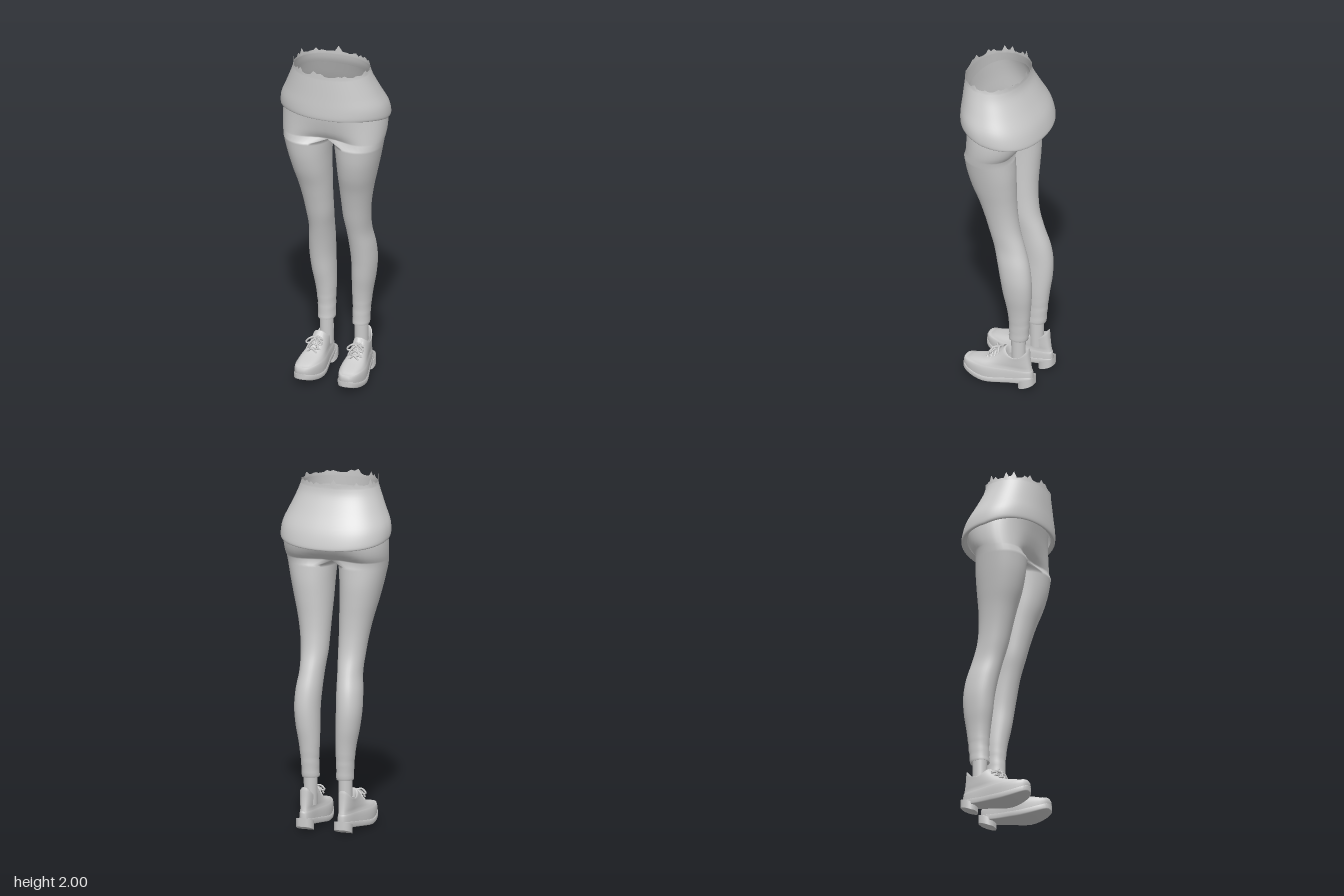
import * as THREE from 'three';
import { mergeGeometries, mergeVertices } from 'three/addons/utils/BufferGeometryUtils.js';

const { sin, cos, abs, sign, PI } = Math;
const material = new THREE.MeshStandardMaterial({ color: 0xcccccc, side: THREE.DoubleSide });
const spow = (v, p) => sign(v) * Math.pow(abs(v), p);
const hash = (i) => { const s = sin(i * 127.1 + 3.7) * 43758.5453; return s - Math.floor(s); };

// Skin a list of rings (bottom to top), each a list of [x, y, z]
function loft(rings, closed = true) {
  const n = rings[0].length, index = [];
  for (let r = 0; r < rings.length - 1; r++) {
    for (let c = 0; c < (closed ? n : n - 1); c++) {
      const d = (c + 1) % n, a = r * n, b = a + n;
      index.push(a + c, b + c, b + d, a + c, b + d, a + d);
    }
  }
  const g = new THREE.BufferGeometry();
  g.setAttribute('position', new THREE.Float32BufferAttribute(rings.flat(2), 3));
  g.setIndex(index);
  g.computeVertexNormals();
  return g;
}

// Catmull-Rom resampling of a table of stations
function resample(table, steps) {
  const out = [], last = table.length - 1;
  for (let i = 0; i < last; i++) {
    const [p, q, r, s] = [i - 1, i, i + 1, i + 2].map((k) => table[Math.min(last, Math.max(0, k))]);
    for (let j = 0; j < steps; j++) {
      const t = j / steps;
      out.push(q.map((v, k) => v + 0.5 * t * (r[k] - p[k] + t * (2 * p[k] - 5 * v + 4 * r[k] - s[k]
        + t * (3 * (v - r[k]) + s[k] - p[k])))));
    }
  }
  out.push(table[last]);
  return out;
}

function mesh(geometry, name) {
  const m = new THREE.Mesh(geometry, material);
  m.name = name;
  return m;
}

// Leggings: one leg and half the hips, mirrored and welded on the centre line
function leggings() {
  const N = 36, H = 12;
  // y, outer x, inner x, front z, back z
  const legTable = [
    [0.30, 0.150, 0.055, -0.072, -0.182], [0.40, 0.155, 0.055, -0.073, -0.190],
    [0.50, 0.167, 0.052, -0.063, -0.200], [0.60, 0.185, 0.053, -0.045, -0.211],
    [0.70, 0.195, 0.054, -0.030, -0.212], [0.80, 0.192, 0.050, -0.010, -0.197],
    [0.90, 0.181, 0.045, 0.015, -0.166], [1.00, 0.186, 0.036, 0.045, -0.134],
    [1.10, 0.198, 0.033, 0.072, -0.119], [1.20, 0.217, 0.030, 0.102, -0.115],
    [1.30, 0.242, 0.027, 0.138, -0.117], [1.40, 0.266, 0.023, 0.162, -0.118],
    [1.50, 0.288, 0.014, 0.173, -0.112],
  ];
  const legRing = ([y, xo, xi, zf, zb], k = 1) => Array.from({ length: N }, (_, i) => {
    const a = (i - N / 2) / N * 2 * PI;
    const ripple = y < 0.48 ? 1 + 0.025 * sin(y * 105 + 1.2 * sin(a)) * Math.min(1, (0.48 - y) * 12) : 1;
    return [(xo + xi) / 2 + (xo - xi) / 2 * k * ripple * spow(cos(a), 0.94), y,
      (zf + zb) / 2 + (zf - zb) / 2 * k * ripple * spow(sin(a), 0.94)];
  });
  // y, half width, front z, back z, depth of the centre groove
  const hipTable = [
    [1.53, 0.293, 0.195, -0.145, 0.42], [1.57, 0.299, 0.192, -0.172, 0.24],
    [1.63, 0.301, 0.188, -0.188, 0.12], [1.70, 0.294, 0.187, -0.186, 0.05],
    [1.80, 0.262, 0.194, -0.132, 0], [1.90, 0.222, 0.200, -0.088, 0],
  ];
  const hipRing = ([y, X, zf, zb, g]) => Array.from({ length: 2 * H + 1 }, (_, i) => {
    const t = (i - H) / H * PI / 2, s = sin(t), mid = (zf + zb) / 2;
    const x = abs(i - H) === H ? 0 : X * Math.pow(cos(t), 0.85);
    return [x, y, mid + (zf - mid) * spow(s, 0.88) * (1 - g * Math.pow(abs(s), 8))];
  });
  const hips = resample(hipTable, 3).map(hipRing);
  // Crotch ring: outer part is the lowest hip ring, inner part lies on x = 0
  const first = hips[0], zBack = first[0][2], zFront = first[2 * H][2];
  const crotch = Array.from({ length: N }, (_, i) => {
    const k = i - N / 2;
    if (abs(k) <= H) return first[k + H];
    const u = ((k + N) % N - H) / (N - 2 * H);
    return [0, 1.53 - 0.015 * sin(u * PI), zFront + (zBack - zFront) * u];
  });
  const legs = resample(legTable, 5);
  const cuff = [0.31, ...legTable[0].slice(1)];
  const rings = [legRing(cuff, 0.75), legRing(legs[0], 0.95), ...legs.map((s) => legRing(s)), crotch];
  const left = mergeGeometries([loft(rings), loft(hips, false)]);
  const right = left.clone().scale(-1, 1, 1);
  const ix = right.index.array;
  for (let i = 0; i < ix.length; i += 3) [ix[i], ix[i + 1]] = [ix[i + 1], ix[i]];
  const both = mergeGeometries([left, right]);
  both.deleteAttribute('normal');
  const welded = mergeVertices(both, 1e-4);
  welded.computeVertexNormals();
  return mesh(welded, 'leggings');
}

// Shirt bottom: flared loft with a tilted, turned-in hem and a torn upper edge
function shirt() {
  const N = 72;
  // y, half width, front z, back z, hem tilt
  const table = [
    [1.675, 0.285, 0.215, -0.205, 0.040], [1.658, 0.302, 0.234, -0.228, 0.040],
    [1.675, 0.313, 0.240, -0.235, 0.040], [1.74, 0.306, 0.239, -0.212, 0.025],
    [1.82, 0.272, 0.235, -0.160, 0.008], [1.90, 0.238, 0.231, -0.116, 0],
    [1.95, 0.220, 0.228, -0.104, 0],
  ];
  const ring = ([y, X, zf, zb, tilt]) => Array.from({ length: N }, (_, i) => {
    const a = i / N * 2 * PI, s = sin(a), mid = (zf + zb) / 2;
    return [X * spow(cos(a), 0.9), y + tilt * s + (s > 0 ? tilt * 0.5 * s * cos(a) ** 2 : 0),
      mid + (zf - mid) * spow(s, s < 0 ? 0.85 : 1)];
  });
  const rings = resample(table, 4).map(ring);
  // Torn edge: irregular spikes, taller on the right side
  rings.push(rings[rings.length - 1].map(([x, , z], i) => {
    const spike = hash(i) > 0.6 ? hash(i + 90) * (x < 0 ? 0.035 : 0.02) : 0;
    return [x * 0.99, i === 40 ? 2 : 1.96 + 0.008 * hash(i + 200) + spike, z];
  }));
  return mesh(loft(rings), 'shirtHem');
}

// Shoe helpers: footprint half width, centre line and underside curve along z
const footWidth = (z) => 0.050 + 0.030 * THREE.MathUtils.smoothstep(z, -0.13, 0.08);
const footCentre = (z) => 0.117 + (z + 0.13) * 0.05;
const lift = (z) => 0.012 + (z > 0.03 ? 1.2 * (z - 0.03) ** 2 : (0.03 - z) * 0.12);

function footRing(zf, zb, k, height) {
  return Array.from({ length: 40 }, (_, i) => {
    const a = i / 40 * 2 * PI, z = (zf + zb) / 2 + (zf - zb) / 2 * sin(a);
    return [footCentre(z) + footWidth(z) * k * spow(cos(a), 0.72), height(z, a), z];
  });
}

function shoe() {
  const group = new THREE.Group();
  // Upper: y, front z, back z, width, collar dip
  const upper = [
    [0.030, 0.188, -0.222, 0.97, 0], [0.070, 0.196, -0.222, 0.99, 0], [0.098, 0.188, -0.219, 0.95, 0],
    [0.116, 0.165, -0.216, 0.90, 0], [0.130, 0.120, -0.213, 0.86, 0], [0.145, 0.060, -0.210, 0.86, 0],
    [0.170, 0.015, -0.206, 0.86, 0.006], [0.200, -0.020, -0.202, 0.86, 0.018],
    [0.235, -0.050, -0.198, 0.86, 0.040], [0.230, -0.062, -0.190, 0.74, 0.040],
    [0.185, -0.070, -0.182, 0.68, 0.010],
  ];
  group.add(mesh(loft(resample(upper, 2).map(([y, zf, zb, k, dip]) =>
    footRing(zf, zb, k, (z, a) => y + (y < 0.1 ? lift(z) * 0.4 : 0) - dip * cos(a) ** 2
      + (sin(a) < 0 ? dip * 0.3 * sin(a) ** 2 : 0)))), 'shoeUpper'));

  // Sole: flat underside closing on the centre line, thin wall, welt on top
  const sole = [[0, 0], [0.95, 0], [1.03, 0.006], [1.05, 0.030], [0.92, 0.034]];
  group.add(mesh(loft(sole.map(([k, h]) =>
    footRing(0.198, -0.232, k, (z) => lift(z) + h))), 'shoeSole'));

  // Heel block
  const heelBase = (z) => Math.max(0, (-0.155 - z) * 0.4);
  const heel = [[0, 0], [0.97, 0], [1, 0.002], [1, 0.05]];
  group.add(mesh(loft(heel.map(([k, h]) =>
    footRing(-0.140, -0.232, k, (z) => heelBase(z) + h))), 'shoeHeel'));

  // Tongue
  const tongue = [[0.17, 0.012, 0.03], [0.205, -0.024, 0.032], [0.238, -0.052, 0.03]];
  group.add(mesh(loft(tongue.map(([y, z, w]) => [-1, -0.5, 0, 0.5, 1].map((s) =>
    [footCentre(z) - s * w, y - 0.016 * s * s, z + 0.008 - 0.012 * s * s])), false), 'shoeTongue'));

  // Crossed laces
  const tube = (pts, name) => group.add(mesh(new THREE.TubeGeometry(
    new THREE.CatmullRomCurve3(pts.map((p) => new THREE.Vector3(...p))), 14, 0.0055, 6), name));
  const rows = [[0.152, 0.050], [0.170, 0.022], [0.190, 0.000], [0.212, -0.022]];
  rows.forEach(([y, z], i) => {
    const [y2, z2] = rows[Math.min(3, i + 1)], cx = footCentre(z);
    for (const s of [-1, 1]) {
      tube([[cx + s * 0.038, y - 0.018, z - 0.004], [cx, (y + y2) / 2 + 0.008, (z + z2) / 2 + 0.006],
        [cx - s * 0.036, y2 - 0.012, z2 - 0.004]], 'lace');
    }
  });
  // Bow loops and loose ends
  for (const s of [-1, 1]) {
    const c = 0.123;
    tube([[c, 0.216, -0.008], [c + s * 0.025, 0.218, 0.012], [c + s * 0.048, 0.192, 0.018],
      [c + s * 0.036, 0.188, 0.022], [c, 0.21, 0.0]], 'laceBow');
    tube([[c, 0.214, -0.004], [c + s * 0.02, 0.196, 0.028], [c + s * 0.034, 0.166, 0.040]], 'laceEnd');
  }
  return group;
}

export function createModel() {
  const model = new THREE.Group();
  model.name = 'lowerBody';
  model.add(leggings(), shirt());
  for (const side of [1, -1]) {
    const foot = shoe();
    foot.name = side > 0 ? 'leftFoot' : 'rightFoot';
    // Ankle showing between cuff and shoe
    const ankle = mesh(new THREE.CylinderGeometry(0.039, 0.037, 0.22, 24, 1, true), 'ankle');
    ankle.scale.z = 1.08;
    ankle.position.set(0.104, 0.25, -0.126);
    foot.add(ankle);
    foot.scale.x = side;
    model.add(foot);
  }
  return model;
}
